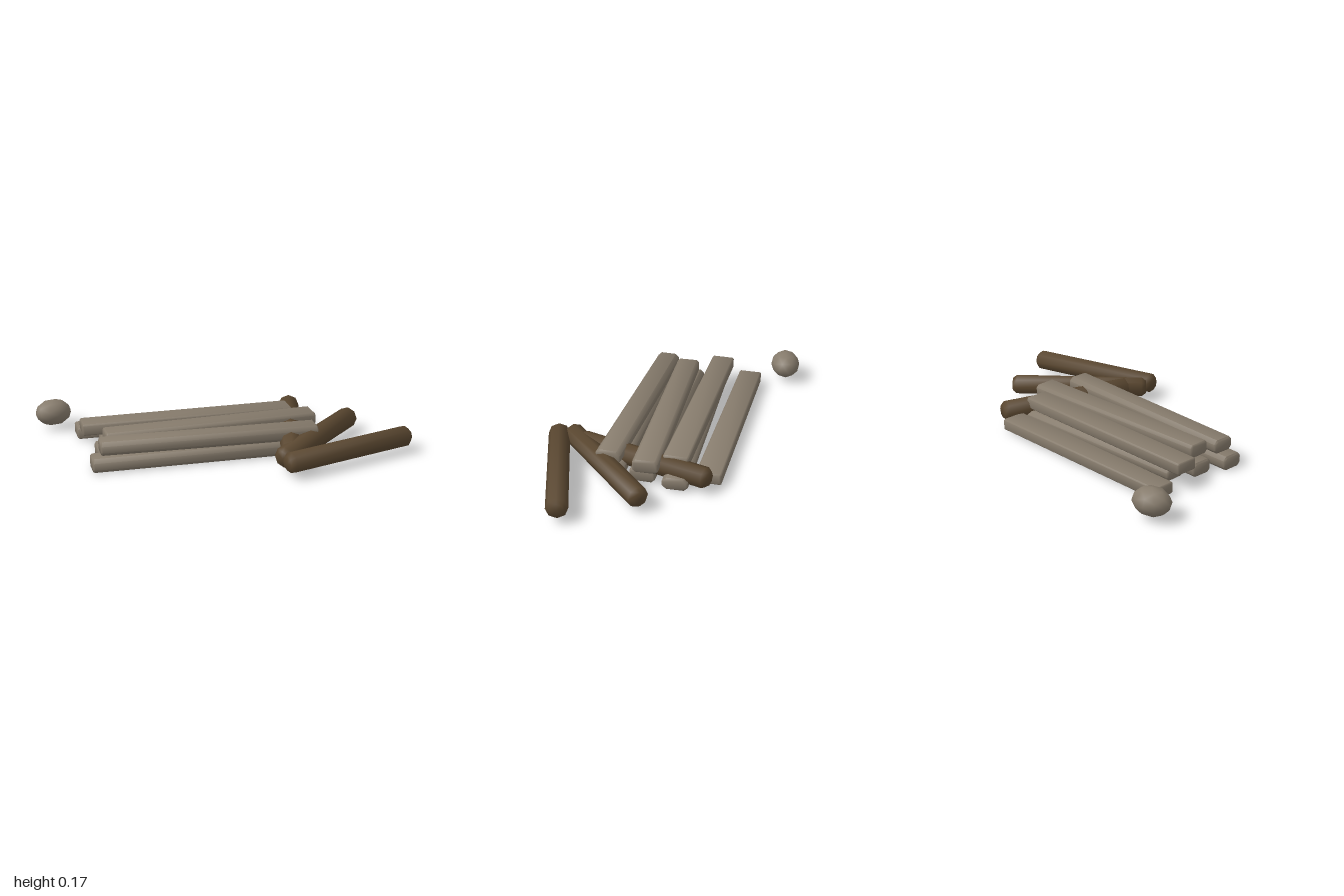
import * as THREE from 'three';
import { toCreasedNormals } from 'three/addons/utils/BufferGeometryUtils.js';

const plankWood = new THREE.MeshStandardMaterial({ color: 0x867b6c });
plankWood.name = 'weatheredPlank';
const logWood = new THREE.MeshStandardMaterial({ color: 0x5a4730 });
logWood.name = 'darkLog';

// Lays a part modelled along +z from point (x0, z0) to (x1, z1) at height y
function lay(geometry, material, name, [x0, z0, x1, z1], y) {
  const mesh = new THREE.Mesh(geometry, material);
  mesh.name = name;
  mesh.position.set(x0, y, z0);
  mesh.rotation.y = Math.atan2(x1 - x0, z1 - z0);
  return mesh;
}

// Plank with chamfered long edges that widens slightly to its far end
function plank(name, line, y, height, c) {
  const length = Math.hypot(line[2] - line[0], line[3] - line[1]);
  const b = 0.008, w = 0.065 - b, h = height / 2 - b;
  const shape = new THREE.Shape([
    [-w + c, -h], [w - c, -h], [w, -h + c], [w, h - c],
    [w - c, h], [-w + c, h], [-w, h - c], [-w, -h + c],
  ].map(([x, v]) => new THREE.Vector2(x, v)));
  const geometry = new THREE.ExtrudeGeometry(shape, {
    depth: length - 2 * b, bevelSize: b, bevelThickness: b, bevelSegments: 1,
  });
  geometry.translate(0, 0, b);
  const p = geometry.attributes.position;
  for (let i = 0; i < p.count; i++) p.setX(i, p.getX(i) * (1 + 0.09 * p.getZ(i) / length));
  return lay(toCreasedNormals(geometry, 0.9), plankWood, name, line, y);
}

// Eight-sided log with chamfered ends
function log(name, line) {
  const length = Math.hypot(line[2] - line[0], line[3] - line[1]);
  const profile = [[0, 0], [0.04, 0], [0.06, 0.025], [0.06, length - 0.025], [0.04, length], [0, length]];
  const geometry = new THREE.LatheGeometry(profile.map(([r, v]) => new THREE.Vector2(r, v)), 8);
  geometry.rotateX(Math.PI / 2);
  return lay(toCreasedNormals(geometry, 1.0), logWood, name, line, 0.087);
}

export function createModel() {
  const model = new THREE.Group();
  model.name = 'woodPile';

  // Lower layer of planks: line on the ground, centre height, thickness, chamfer
  const lower = [
    [[-0.79, -0.335, 0.43, -0.345], 0.043, 0.066, 0.002],
    [[-0.68, -0.14, 0.535, -0.185], 0.045, 0.07, 0.016],
    [[-0.73, 0.008, 0.48, 0.01], 0.04, 0.08, 0.014],
    [[-0.785, 0.185, 0.43, 0.185], 0.04, 0.08, 0.016],
  ];
  // Upper layer
  const upper = [
    [[-0.785, -0.165, 0.435, -0.165], 0.124, 0.066, 0.003],
    [[-0.685, 0.03, 0.53, -0.02], 0.126, 0.076, 0.01],
    [[-0.735, 0.165, 0.48, 0.2], 0.126, 0.078, 0.016],
  ];
  lower.forEach((args, i) => model.add(plank('lowerPlank' + (i + 1), ...args)));
  upper.forEach((args, i) => model.add(plank('upperPlank' + (i + 1), ...args)));

  // Fanned logs beside the planks
  [
    [0.205, 0.563, 0.985, 0.322],
    [0.198, 0.492, 0.775, -0.062],
    [0.275, 0.415, 0.495, -0.365],
  ].forEach((line, i) => model.add(log('log' + (i + 1), line)));

  // Lone stone
  const stoneShape = new THREE.IcosahedronGeometry(1, 1);
  stoneShape.scale(0.108, 0.077, 0.086);
  const stone = new THREE.Mesh(stoneShape, plankWood);
  stone.name = 'stone';
  stone.position.set(-0.895, 0.097, -0.53);
  stone.rotation.y = 0.25;
  model.add(stone);

  return model;
}
